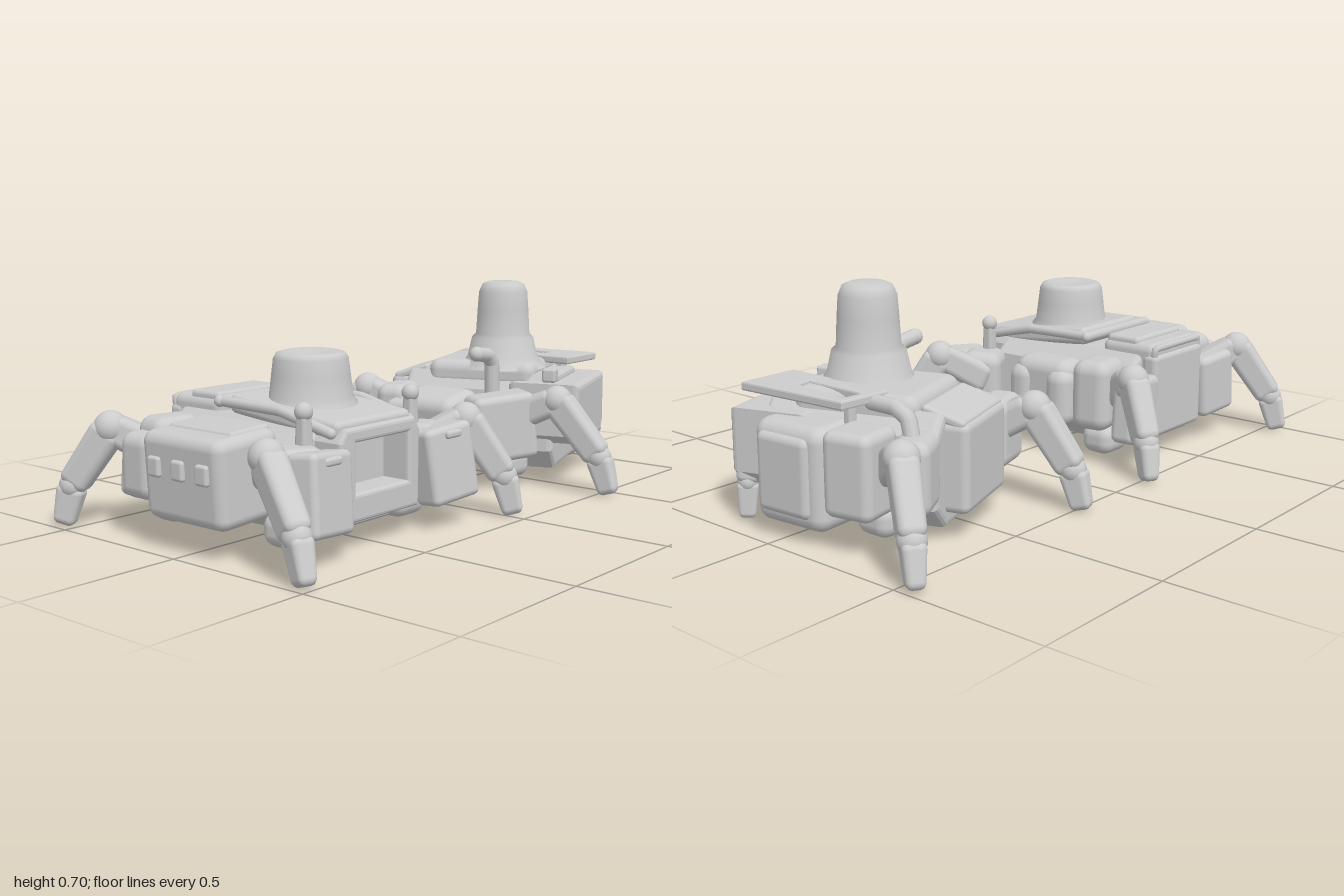
import * as THREE from 'three';
import { RoundedBoxGeometry } from 'three/addons/geometries/RoundedBoxGeometry.js';

const material = new THREE.MeshStandardMaterial({ color: 0xcccccc });
const V = (p) => new THREE.Vector3(...p);
const points2 = (list) => list.map((p) => new THREE.Vector2(...p));

function add(parent, name, geometry, pos = [0, 0, 0], rot = [0, 0, 0]) {
  const mesh = new THREE.Mesh(geometry, material);
  mesh.name = name;
  mesh.position.set(...pos);
  mesh.rotation.set(...rot);
  parent.add(mesh);
  return mesh;
}

// Rounded block given by its size, centre and rotation
function block(parent, name, size, pos, rot, radius = 0.03) {
  const r = Math.min(radius, Math.min(...size) * 0.45);
  add(parent, name, new RoundedBoxGeometry(...size, 3, r), pos, rot);
}

// Rounded bar between two points, tapering from full width to a share of it
function limb(parent, name, a, b, width, depth, taper = 1) {
  const A = V(a), B = V(b), length = A.distanceTo(B);
  const g = new RoundedBoxGeometry(width, depth, length, 3, Math.min(width, depth) * 0.3);
  const p = g.attributes.position;
  for (let i = 0; i < p.count; i++) {
    const k = THREE.MathUtils.lerp(1, taper, p.getZ(i) / length + 0.5);
    p.setXY(i, p.getX(i) * k, p.getY(i) * k);
  }
  const mesh = add(parent, name, g);
  mesh.position.copy(A).add(B).multiplyScalar(0.5);
  mesh.lookAt(B);
}

function ball(parent, name, pos, r) {
  add(parent, name, new THREE.SphereGeometry(r, 20, 14), pos);
}

function rail(parent, name, points, r) {
  const path = new THREE.CatmullRomCurve3(points.map(V), false, 'catmullrom', 0.1);
  add(parent, name, new THREE.TubeGeometry(path, 32, r, 10));
  ball(parent, name + 'EndA', points[0], r);
  ball(parent, name + 'EndB', points[points.length - 1], r);
}

function turret(parent, profile, pos) {
  add(parent, 'turret', new THREE.LatheGeometry(points2(profile), 40), pos);
}

// Leg: hip arm, knee, shin and a blunt foot that stands steeper than the shin
function leg(parent, name, hip, knee, foot, w = 1) {
  const g = new THREE.Group();
  g.name = name;
  parent.add(g);
  const K = V(knee), F = V(foot);
  const ankle = K.clone().lerp(F, 0.6).add(new THREE.Vector3(F.x - K.x, 0, F.z - K.z).multiplyScalar(0.2)).toArray();
  limb(g, 'hipArm', hip, knee, 0.1 * w, 0.11 * w, 0.85);
  ball(g, 'knee', knee, 0.052 * w);
  limb(g, 'shin', knee, ankle, 0.088 * w, 0.105 * w, 0.88);
  ball(g, 'ankle', ankle, 0.042 * w);
  limb(g, 'foot', ankle, foot, 0.072 * w, 0.09 * w, 0.72);
}

// Hull with a chamfered cross-section, swept along z
function hull(parent, name, outline, z0, z1) {
  const b = 0.02;
  const g = new THREE.ExtrudeGeometry(new THREE.Shape(points2(outline)), { depth: z1 - z0 - 2 * b, bevelThickness: b, bevelSize: b, bevelOffset: -b, bevelSegments: 3 });
  add(parent, name, g, [0, 0, z0 + b]);
}

function createWideWalker() {
  const g = new THREE.Group();
  g.name = 'wideWalker';
  const cx = -0.515;
  const body = new THREE.Group();
  body.name = 'body';
  body.position.x = cx;
  g.add(body);

  hull(body, 'hull', [[-0.16, 0.04], [0.16, 0.04], [0.24, 0.11], [0.22, 0.3], [0.15, 0.36], [-0.15, 0.36], [-0.22, 0.3], [-0.24, 0.11]], -0.34, 0.25);

  // Front frame with a recessed window
  const frame = new THREE.Shape(points2([[-0.155, 0.1], [0.165, 0.1], [0.17, 0.32], [0.15, 0.35], [-0.14, 0.35], [-0.16, 0.32]]));
  frame.holes.push(new THREE.Path(points2([[-0.115, 0.16], [-0.115, 0.33], [0.14, 0.33], [0.14, 0.16]])));
  add(body, 'windowFrame', new THREE.ExtrudeGeometry(frame, { depth: 0.1, bevelThickness: 0.012, bevelSize: 0.012, bevelSegments: 3 }), [0, 0, 0.237]);
  block(body, 'cabinRoof', [0.33, 0.06, 0.44], [0, 0.373, 0.11], [0.1, 0, 0], 0.02);
  turret(body, [[0.15, 0.36], [0.14, 0.4], [0.127, 0.415], [0.119, 0.48], [0.113, 0.53], [0.104, 0.546], [0.085, 0.552], [0.06, 0.545], [0, 0.54]], [0, 0, 0.075]);

  // Rear pack and roof rails
  block(body, 'rearPack', [0.29, 0.25, 0.22], [0, 0.275, -0.28]);
  block(body, 'rearPackLid', [0.27, 0.04, 0.13], [0, 0.395, -0.25], undefined, 0.015);
  block(body, 'rearPanel', [0.3, 0.29, 0.06], [0, 0.22, -0.37], undefined, 0.02);
  rail(body, 'crossRail', [[-0.18, 0.4, -0.13], [0.18, 0.4, -0.13]], 0.018);
  rail(body, 'rearRail', [[-0.13, 0.34, -0.38], [-0.13, 0.385, -0.385], [0.13, 0.385, -0.385], [0.13, 0.34, -0.38]], 0.012);
  for (const s of [-1, 1]) rail(body, 'sideRail', [[s * 0.175, 0.4, -0.13], [s * 0.175, 0.395, 0.12], [s * 0.17, 0.35, 0.31]], 0.016);

  // Cargo box with latches on one side, rounded drums on the other
  block(g, 'cargoBox', [0.24, 0.26, 0.33], [-0.85, 0.225, 0], [0, 0, 0.06], 0.035);
  block(g, 'cargoLid', [0.15, 0.03, 0.27], [-0.82, 0.35, 0], [0, 0, 0.06]);
  for (const z of [-0.1, 0, 0.1]) block(g, 'latch', [0.03, 0.06, 0.05], [-0.97, 0.25, z], undefined, 0.01);
  block(g, 'sideBulge', [0.14, 0.24, 0.24], [-0.275, 0.21, -0.02], undefined, 0.05);
  for (const z of [-0.1, 0.06]) block(g, 'sideDrum', [0.1, 0.2, 0.1], [-0.235, 0.2, z], undefined, 0.045);

  // Shoulders and armour pods
  for (const s of [-1, 1]) {
    const x = (d) => cx + s * d;
    const front = (d) => -0.495 + s * d;
    block(g, 'frontPod', [0.19, 0.235, 0.1], [front(0.275), 0.2, 0.35], [-0.1, s * -0.15, s * 0.08], 0.02);
    block(g, 'podSlot', [0.07, 0.025, 0.03], [front(0.27), 0.295, 0.385], undefined, 0.01);
    block(g, 'frontShoulder', [0.16, 0.2, 0.15], [front(0.27), 0.22, 0.25], [0, s * 0.5, 0], 0.045);
    block(g, 'rearPod', [0.18, 0.22, 0.09], [x(0.24), 0.2, -0.38], [0, s * 0.1, s * 0.08], 0.025);
    block(g, 'rearShoulder', [0.17, 0.24, 0.14], [x(0.27), 0.24, -0.25], [0, s * 0.15, 0], 0.045);
    limb(g, 'post', [front(0.235), 0.3, 0.25], [front(0.235), 0.405, 0.25], 0.045, 0.045, 0.8);
    ball(g, 'postKnob', [front(0.235), 0.412, 0.25], 0.027);
    block(g, 'underJoint', [0.14, 0.1, 0.12], [x(0.24), 0.08, 0.22], undefined, 0.04);
    block(g, 'underJoint', [0.14, 0.1, 0.12], [x(0.24), 0.08, -0.26], undefined, 0.04);
  }
  block(g, 'outerShoulder', [0.13, 0.2, 0.14], [-0.87, 0.22, -0.25], undefined, 0.04);
  leg(g, 'frontRightLeg', [-0.82, 0.24, 0.21], [-0.905, 0.315, 0.28], [-0.965, 0.009, 0.475]);
  leg(g, 'frontLeftLeg', [-0.2, 0.22, 0.21], [-0.07, 0.315, 0.32], [0.02, 0.009, 0.445]);
  leg(g, 'rearRightLeg', [-0.78, 0.24, -0.32], [-0.885, 0.315, -0.41], [-0.965, 0.009, -0.55]);
  leg(g, 'rearLeftLeg', [-0.27, 0.24, -0.3], [-0.215, 0.315, -0.41], [-0.15, 0.009, -0.525]);
  return g;
}

function createTallWalker() {
  const g = new THREE.Group();
  g.name = 'tallWalker';
  const body = new THREE.Group();
  body.name = 'body';
  body.position.set(0.61, 0, -0.06);
  body.rotation.y = 0.33;
  g.add(body);

  // Turned body: hull, slanted front armour, roof and rear pack
  hull(body, 'hull', [[-0.14, 0.04], [0.14, 0.04], [0.21, 0.11], [0.21, 0.32], [0.15, 0.38], [-0.15, 0.38], [-0.19, 0.32], [-0.2, 0.11]], -0.28, 0.28);
  hull(body, 'frontArmour', [[-0.18, 0.14], [0.19, 0.12], [0.225, 0.16], [0.225, 0.355], [-0.215, 0.355], [-0.215, 0.17]], 0.12, 0.375);
  block(body, 'roof', [0.34, 0.1, 0.4], [0, 0.37, 0], undefined, 0.04);
  block(body, 'rearPack', [0.3, 0.27, 0.14], [0, 0.22, -0.28], undefined, 0.025);
  block(body, 'rearLid', [0.29, 0.03, 0.14], [0, 0.365, -0.27], [-0.3, 0, 0], 0.012);
  block(body, 'roofBox', [0.05, 0.05, 0.05], [-0.16, 0.38, 0.26], undefined, 0.01);
  turret(g, [[0.16, 0.39], [0.128, 0.43], [0.112, 0.5], [0.098, 0.512], [0.093, 0.6], [0.088, 0.665], [0.076, 0.693], [0.055, 0.703], [0, 0.703]], [0.587, 0, 0]);

  // Roof rack plate with a long opening
  const plate = new THREE.Shape(points2([[0.71, 0.19], [0.87, 0.18], [0.9, -0.2], [0.71, -0.2]]));
  plate.holes.push(new THREE.Path(points2([[0.765, 0.165], [0.765, -0.07], [0.82, -0.07], [0.85, 0.16]])));
  add(g, 'roofRack', new THREE.ExtrudeGeometry(plate, { depth: 0.016, bevelThickness: 0.006, bevelSize: 0.006, bevelSegments: 2 }), [0, 0.405, 0], [-Math.PI / 2, 0, 0]);
  for (const z of [-0.14, 0.12]) limb(g, 'rackStrut', [0.8, 0.3, z], [0.8, 0.41, z], 0.03, 0.03);

  // Periscope bent outwards, and the elbow pipe at the rear corner
  rail(g, 'periscope', [[0.37, 0.3, 0.11], [0.365, 0.43, 0.11], [0.34, 0.46, 0.11], [0.275, 0.47, 0.11]], 0.026);
  rail(g, 'elbowPipe', [[0.75, 0.4, -0.18], [0.75, 0.4, -0.27], [0.76, 0.38, -0.33], [0.77, 0.3, -0.36]], 0.024);

  // Side packs and pods
  block(g, 'leftPack', [0.2, 0.31, 0.27], [0.85, 0.195, -0.02], [0, 0.08, 0], 0.045);
  block(g, 'leftRearBox', [0.16, 0.25, 0.16], [0.86, 0.235, -0.24], [0, 0.2, 0], 0.03);
  block(g, 'leftPanel', [0.06, 0.24, 0.2], [0.935, 0.2, -0.02], [0, 0.08, 0], 0.025);
  block(g, 'rightPack', [0.2, 0.25, 0.26], [0.29, 0.2, -0.07], [0, 0.06, 0.15], 0.045);
  block(g, 'rightPanel', [0.08, 0.2, 0.12], [0.2, 0.2, -0.15], [0, 0.06, 0.15], 0.03);
  block(g, 'rightFrontPod', [0.22, 0.23, 0.14], [0.325, 0.22, 0.18], [0, -0.6, 0.1], 0.025);
  block(g, 'rightRearPod', [0.18, 0.22, 0.12], [0.29, 0.23, -0.25], [0, 0.3, 0], 0.04);
  block(g, 'leftRearPod', [0.16, 0.22, 0.12], [0.77, 0.23, -0.36], [0, 0.5, 0], 0.04);
  for (const [x, z] of [[0.38, 0.16], [0.4, -0.2], [0.76, -0.24], [0.82, 0.1]]) block(g, 'underJoint', [0.15, 0.1, 0.13], [x, 0.08, z], undefined, 0.04);

  leg(g, 'frontRightLeg', [0.37, 0.24, 0.18], [0.415, 0.315, 0.35], [0.455, 0.009, 0.54]);
  leg(g, 'frontLeftLeg', [0.84, 0.24, 0.12], [0.885, 0.29, 0.185], [0.905, 0.009, 0.205], 0.75);
  leg(g, 'rearRightLeg', [0.31, 0.24, -0.24], [0.255, 0.315, -0.37], [0.205, 0.009, -0.52]);
  leg(g, 'rearLeftLeg', [0.8, 0.24, -0.3], [0.88, 0.315, -0.42], [0.97, 0.009, -0.55]);
  return g;
}

export function createModel() {
  const model = new THREE.Group();
  model.name = 'walkerPair';
  model.add(createWideWalker(), createTallWalker());
  return model;
}
